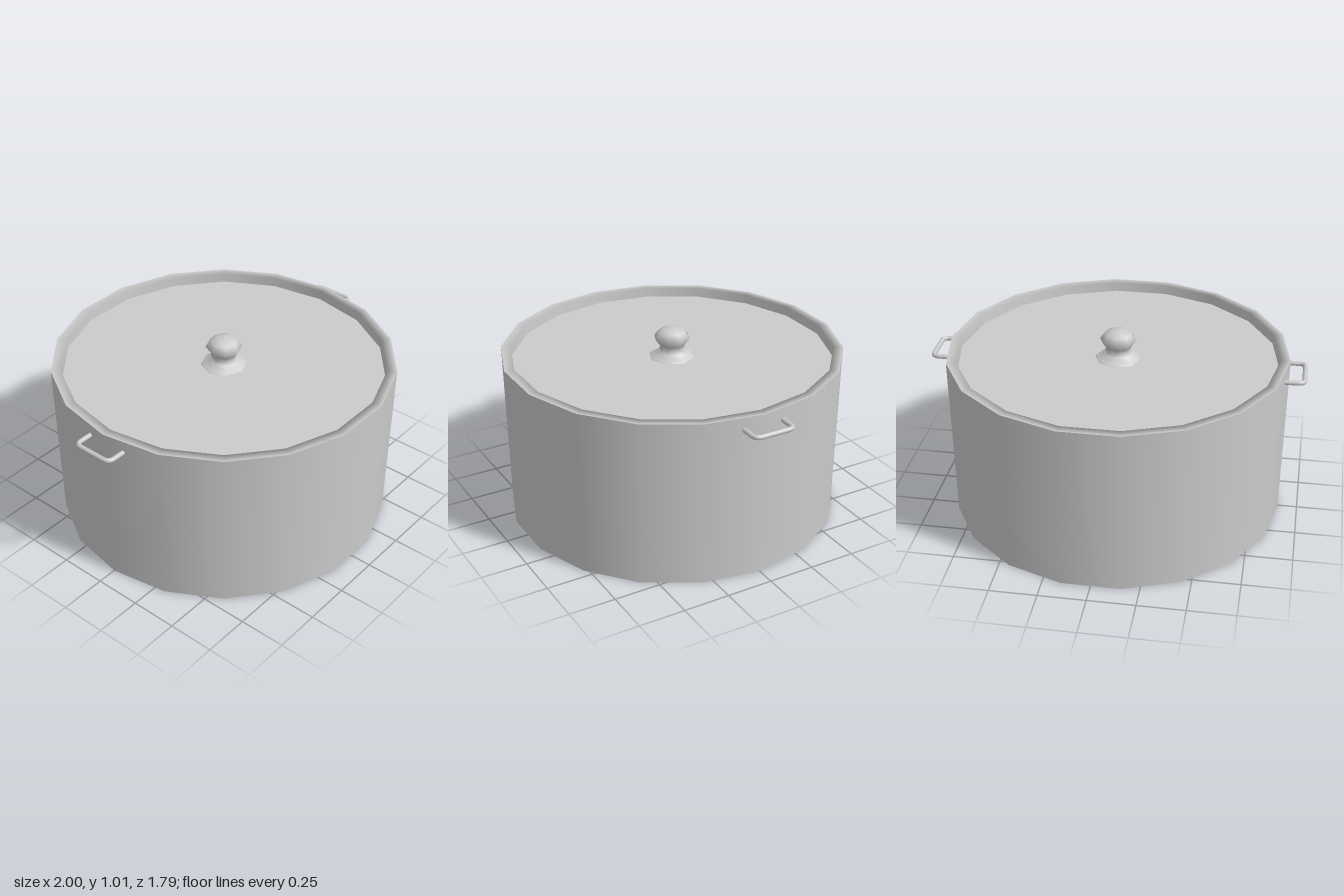
import * as THREE from 'three';

const SIDES = 18;

export function createModel() {
  const group = new THREE.Group();
  const material = new THREE.MeshStandardMaterial({ color: 0xcccccc, side: THREE.DoubleSide });

  const add = (name, geometry) => {
    const mesh = new THREE.Mesh(geometry, material);
    mesh.name = name;
    group.add(mesh);
    return mesh;
  };

  // Lathe with a corner of the polygon on the x axis
  const lathe = (points, sides) =>
    new THREE.LatheGeometry(points.map(([r, y]) => new THREE.Vector2(r, y)), sides, Math.PI / 2);

  // Pot: slightly flared wall, flat base, rim running down into the inside
  add('potWall', lathe([[0.895, 0], [0.908, 0.9]], SIDES));
  add('potBase', lathe([[0, 0], [0.895, 0]], SIDES));
  add('potRimAndInside', lathe([[0.908, 0.9], [0.856, 0.9], [0.843, 0.04]], SIDES));
  add('potFloor', lathe([[0.843, 0.04], [0, 0.04]], SIDES));

  // Lid: thin disc sunk just below the rim
  const lid = add('lid', new THREE.CylinderGeometry(0.852, 0.852, 0.02, SIDES, 1, false, Math.PI / 2));
  lid.position.y = 0.84;

  // Lid knob: spread foot, narrow neck, rounded head
  add('lidKnob', lathe([
    [0.122, 0.85], [0.115, 0.858], [0.072, 0.878], [0.066, 0.9], [0.069, 0.918],
    [0.097, 0.957], [0.072, 0.992], [0.035, 1.005], [0, 1.009],
  ], 8));

  // Side handles: bent rod with rounded corners
  const v = (x, z) => new THREE.Vector3(x, 0, z);
  for (const side of [1, -1]) {
    const x0 = 0.87, x1 = 0.987, z = 0.11, r = 0.035;
    const path = new THREE.CurvePath();
    path.add(new THREE.LineCurve3(v(x0, -z), v(x1 - r, -z)));
    path.add(new THREE.QuadraticBezierCurve3(v(x1 - r, -z), v(x1, -z), v(x1, r - z)));
    path.add(new THREE.LineCurve3(v(x1, r - z), v(x1, z - r)));
    path.add(new THREE.QuadraticBezierCurve3(v(x1, z - r), v(x1, z), v(x1 - r, z)));
    path.add(new THREE.LineCurve3(v(x1 - r, z), v(x0, z)));
    const handle = add(side > 0 ? 'leftHandle' : 'rightHandle', new THREE.TubeGeometry(path, 40, 0.013, 8));
    handle.position.y = 0.833;
    if (side < 0) handle.rotation.y = Math.PI;
  }

  return group;
}
